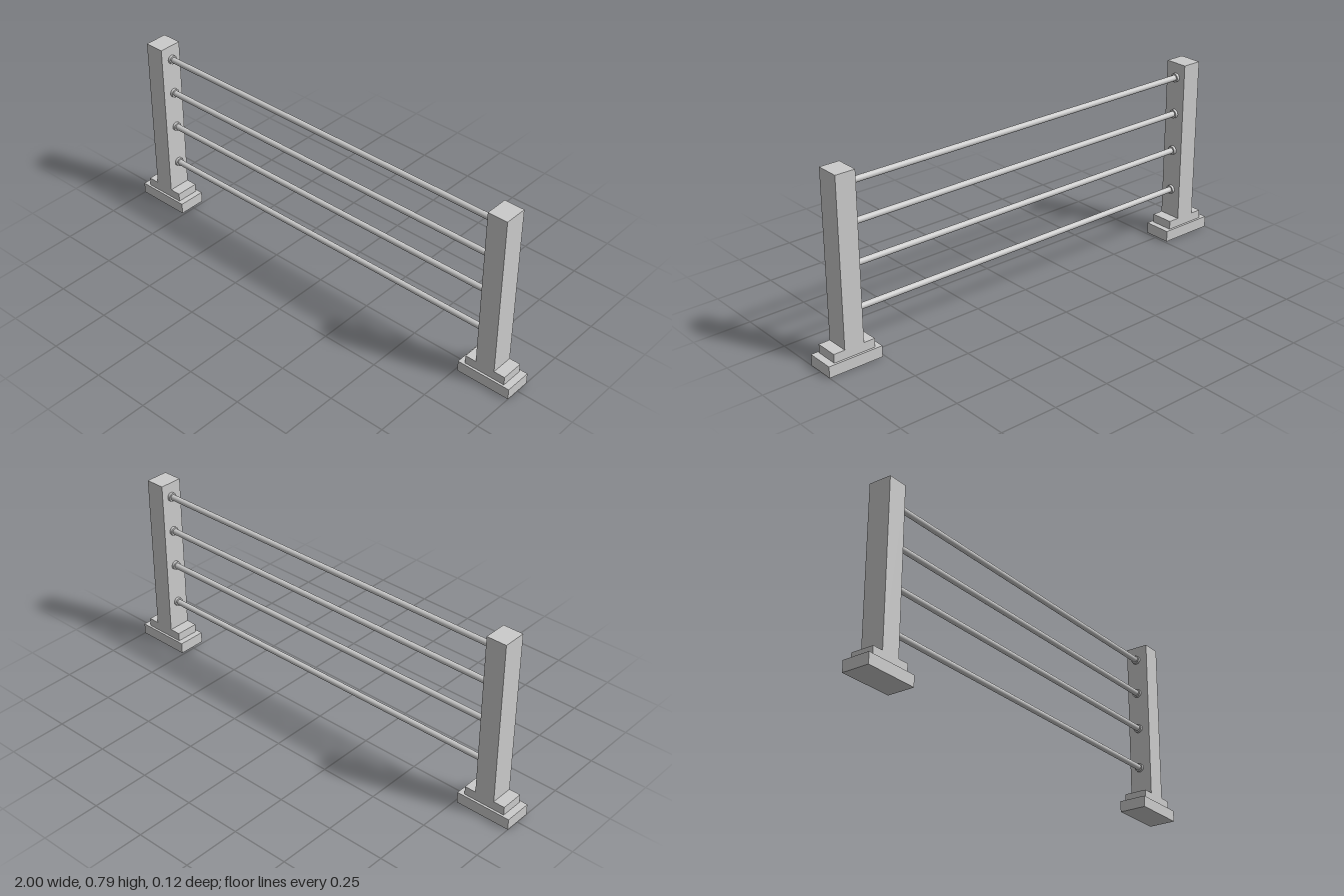
import * as THREE from 'three';

export function createModel() {
  const model = new THREE.Group();
  const material = new THREE.MeshStandardMaterial({ color: 0xcccccc });

  function add(parent, name, geometry, x, y, z = 0) {
    const mesh = new THREE.Mesh(geometry, material);
    mesh.name = name;
    mesh.position.set(x, y, z);
    parent.add(mesh);
    return mesh;
  }

  const postX = 0.878;
  const postInner = 0.835;
  const railHeights = [0.211, 0.395, 0.564, 0.727];

  // Two square posts on stepped feet
  for (const side of [1, -1]) {
    const support = new THREE.Group();
    support.name = side > 0 ? 'leftSupport' : 'rightSupport';
    model.add(support);
    add(support, 'base', new THREE.BoxGeometry(0.24, 0.048, 0.12), side * 0.88, 0.024);
    add(support, 'step', new THREE.BoxGeometry(0.184, 0.037, 0.1), side * postX, 0.0665);
    add(support, 'post', new THREE.BoxGeometry(0.086, 0.705, 0.1), side * postX, 0.4375);

    // Round collars that hold the rail ends
    for (const y of railHeights) {
      const collar = new THREE.CylinderGeometry(0.019, 0.019, 0.012, 24).rotateZ(Math.PI / 2);
      add(support, 'railCollar', collar, side * (postInner - 0.006), y, -0.003);
    }
  }

  // Horizontal round rails
  for (const y of railHeights) {
    const rail = new THREE.CylinderGeometry(0.0125, 0.0125, postInner * 2, 24).rotateZ(Math.PI / 2);
    add(model, 'rail', rail, 0, y, -0.003);
  }

  return model;
}
